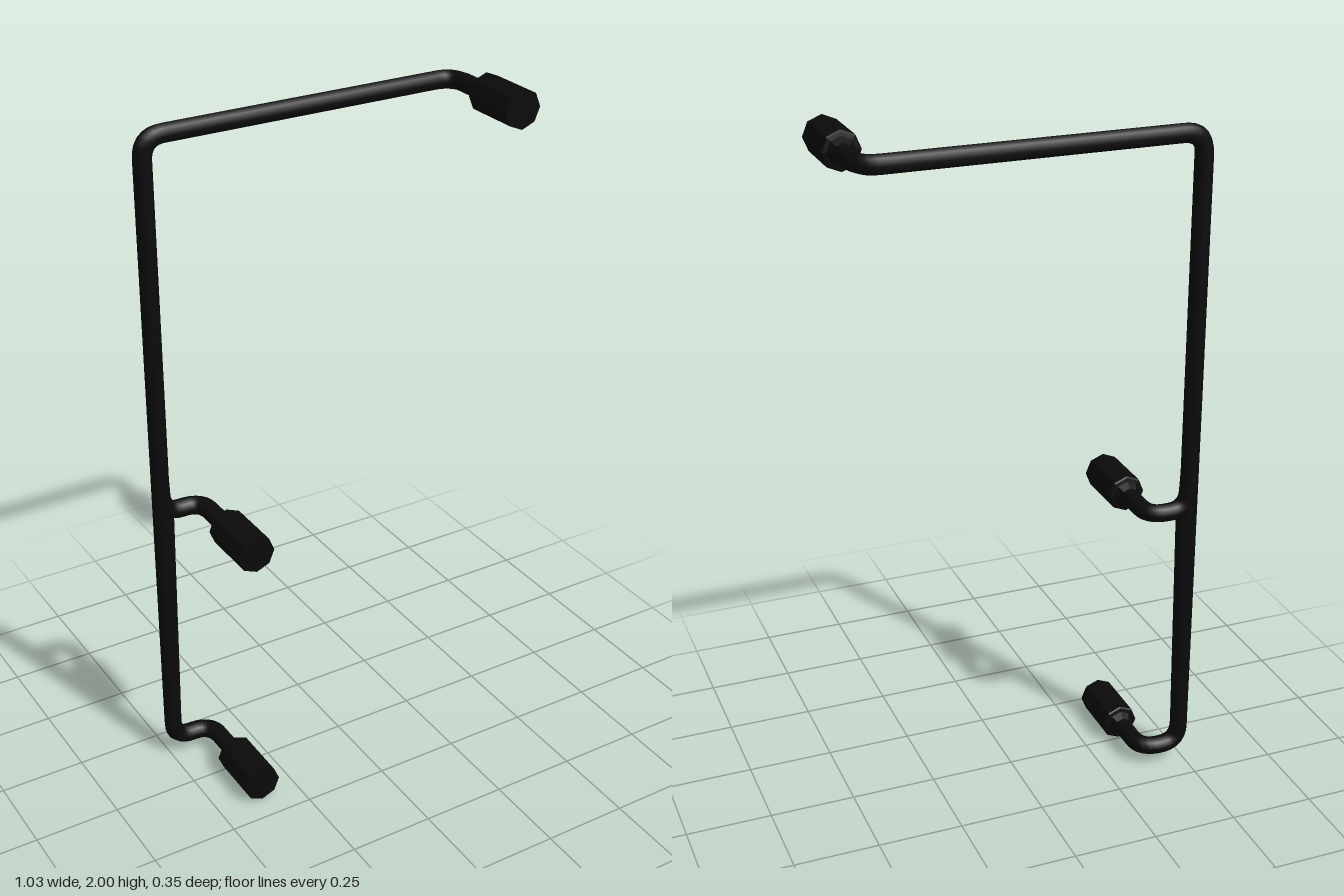
import * as THREE from 'three';

const R = 0.027;      // pipe radius
const BACK = -0.15;   // depth of the pipe run
const black = new THREE.MeshStandardMaterial({ color: 0x0b0b0b });
const blackFlat = new THREE.MeshStandardMaterial({ color: 0x0b0b0b, flatShading: true });

// Pipe through corner points, each corner rounded by a bend of the given size
function pipe(name, corners, segments, bend = 0.06) {
  const pts = corners.map(c => new THREE.Vector3(...c));
  const path = new THREE.CurvePath();
  let from = pts[0];
  for (let i = 1; i < pts.length - 1; i++) {
    const toward = (p) => {
      const d = p.clone().sub(pts[i]);
      return pts[i].clone().addScaledVector(d.normalize(), bend);
    };
    const a = toward(pts[i - 1]), b = toward(pts[i + 1]);
    path.add(new THREE.LineCurve3(from, a));
    path.add(new THREE.QuadraticBezierCurve3(a, pts[i], b));
    from = b;
  }
  path.add(new THREE.LineCurve3(from, pts[pts.length - 1]));
  const mesh = new THREE.Mesh(new THREE.TubeGeometry(path, segments, R, 8, false), black);
  mesh.name = name;
  return mesh;
}

// Eight-sided end fitting with a flared collar, facing +z
function endFitting(name, x, y) {
  const profile = [
    [0, -0.02], [R, -0.02], [0.04, 0], [0.051, 0.002], [0.055, 0.006], [0.055, 0.175], [0, 0.175],
  ].map(p => new THREE.Vector2(...p));
  const geometry = new THREE.LatheGeometry(profile, 8);
  geometry.rotateX(Math.PI / 2);
  const mesh = new THREE.Mesh(geometry, blackFlat);
  mesh.position.set(x, y, 0);
  mesh.name = name;
  return mesh;
}

export function createModel() {
  const group = new THREE.Group();
  group.name = 'pipeAssembly';
  const riserX = -0.488, lowX = -0.364, topX = 0.457;
  const lowY = 0.057, midY = 0.846, topY = 1.948;

  // Main run: lower outlet, riser, top bar, upper outlet
  group.add(pipe('mainPipe', [
    [lowX, lowY, 0], [lowX, lowY, BACK], [riserX, lowY, BACK],
    [riserX, topY, BACK], [topX, topY, BACK], [topX, topY, 0],
  ], 220));

  // Middle branch, swept out of the riser
  group.add(pipe('middleBranch', [
    [riserX, 0.96, BACK], [riserX + 0.005, midY, BACK], [lowX, midY, BACK], [lowX, midY, 0],
  ], 50, 0.055));

  // Slightly thicker riser below the branch
  group.add(pipe('lowerRiser', [[riserX, 0.15, BACK], [riserX + 0.01, 0.84, BACK]], 1));

  group.add(endFitting('lowerFitting', lowX, lowY));
  group.add(endFitting('middleFitting', lowX, midY));
  group.add(endFitting('upperFitting', topX, topY));
  return group;
}
